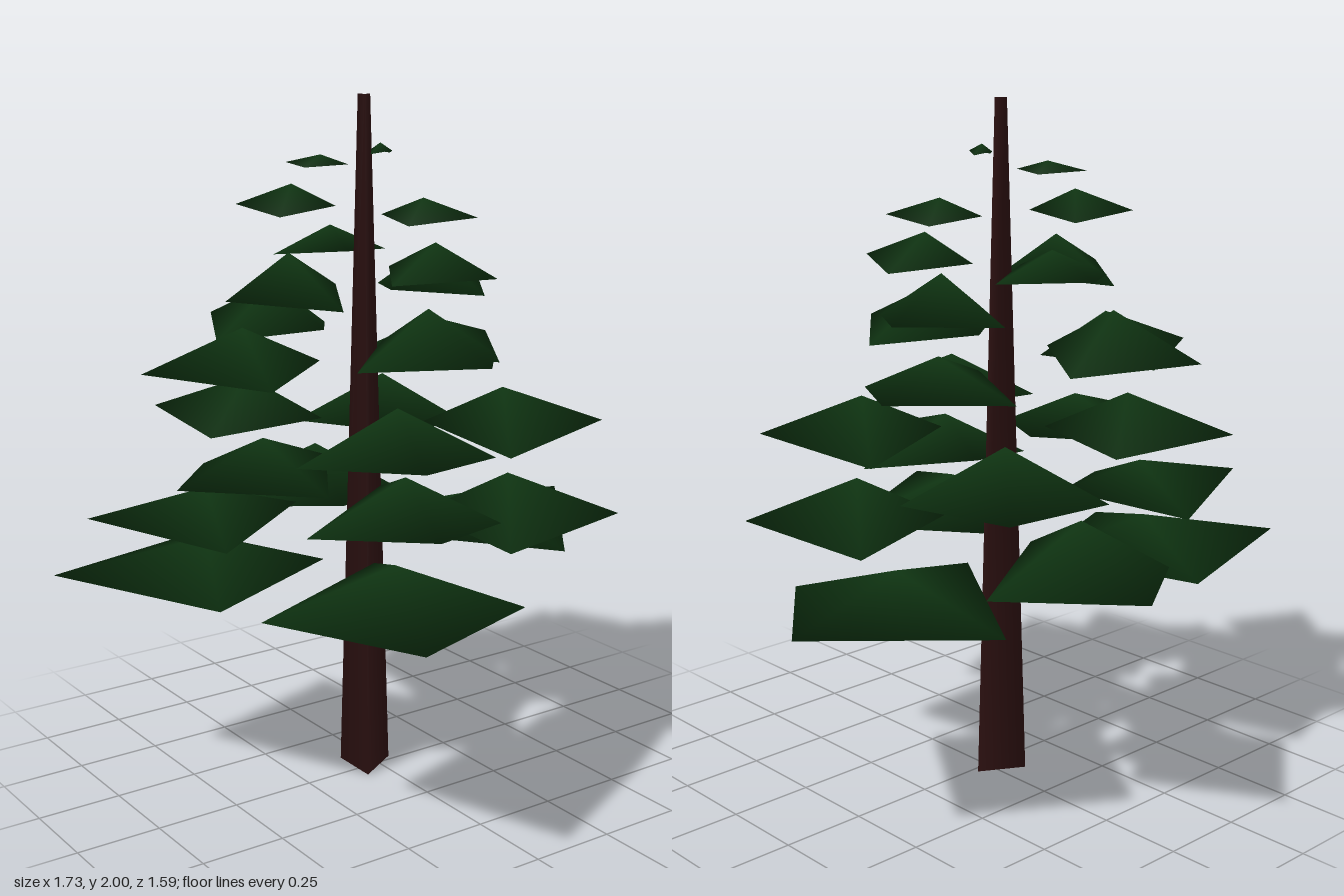
import * as THREE from 'three';

const CX = -0.032, CZ = -0.02; // trunk axis

// One bough: a closed kite with a raised centre and drooping side corners.
function boughGeometry(x, z, length, yTop, yTip, ySide) {
  const dir = new THREE.Vector2(x - CX, z - CZ).normalize();
  const at = (along, across, y) => [
    x + dir.x * along - dir.y * across, y, z + dir.y * along + dir.x * across,
  ];
  const outer = at(0.56 * length, 0, yTip);
  const inner = at(-0.44 * length, 0, yTip);
  const sideA = at(0, 0.48 * length, ySide);
  const sideB = at(0, -0.48 * length, ySide);
  const top = [x, yTop, z];
  const g = new THREE.BufferGeometry();
  g.setAttribute('position', new THREE.Float32BufferAttribute(
    [...outer, ...sideA, ...inner, ...sideB, ...top], 3));
  // four upper faces, then two lower faces folded along the spine
  g.setIndex([1, 0, 4, 2, 1, 4, 3, 2, 4, 0, 3, 4, 0, 1, 2, 0, 2, 3]);
  g.computeVertexNormals();
  return g;
}

// Tiers from bottom to top: centre x, centre z, length, top y, tip y, side y
const tiers = [
  [[-0.24, 0.42, 0.75, 0.79, 0.69, 0.65], [0.45, -0.12, 0.76, 0.76, 0.69, 0.64],
    [-0.46, -0.21, 0.78, 0.75, 0.66, 0.65]],
  [[-0.48, -0.17, 0.6, 0.91, 0.845, 0.8], [-0.17, 0.37, 0.57, 1.01, 0.92, 0.86],
    [0.3, 0.23, 0.58, 0.92, 0.8, 0.76], [0.08, -0.46, 0.61, 0.9, 0.765, 0.72]],
  [[-0.42, 0.05, 0.54, 1.09, 1.0, 0.97], [-0.19, 0.36, 0.57, 1.2, 1.1, 1.05],
    [0.3, 0.2, 0.52, 1.17, 1.07, 1.02], [0.27, -0.36, 0.58, 1.12, 1.0, 0.96],
    [-0.25, -0.32, 0.54, 1.18, 1.07, 1.05]],
  [[-0.39, -0.1, 0.52, 1.37, 1.26, 1.235], [-0.03, 0.28, 0.49, 1.44, 1.32, 1.29],
    [-0.12, -0.38, 0.48, 1.44, 1.32, 1.29], [0.29, -0.12, 0.5, 1.33, 1.25, 1.22]],
  [[-0.33, 0.05, 0.42, 1.59, 1.485, 1.45], [0.26, -0.1, 0.42, 1.55, 1.44, 1.42],
    [0.03, 0.23, 0.38, 1.61, 1.53, 1.51], [0.03, -0.29, 0.37, 1.61, 1.55, 1.53]],
  [[-0.18, -0.17, 0.29, 1.75, 1.69, 1.67], [0.07, 0.12, 0.28, 1.72, 1.67, 1.655]],
  [[-0.1, -0.14, 0.2, 1.83, 1.805, 1.8], [-0.02, 0.04, 0.08, 1.87, 1.85, 1.84]],
];

export function createModel() {
  const tree = new THREE.Group();
  tree.name = 'pineTree';
  const bark = new THREE.MeshStandardMaterial({ color: 0x2a0f0f });
  bark.name = 'dark bark';
  const needles = new THREE.MeshStandardMaterial({ color: 0x0f3512 });
  needles.name = 'dark green';

  // Three-sided tapering trunk, open at the top
  const trunk = new THREE.Mesh(
    new THREE.CylinderGeometry(0.02, 0.085, 2, 3, 1, true, Math.PI / 2), bark);
  trunk.name = 'trunk';
  trunk.position.set(CX, 1, CZ);
  const base = new THREE.Mesh(new THREE.CircleGeometry(0.085, 3), bark);
  base.name = 'trunkBase';
  base.rotation.x = Math.PI / 2;
  base.position.set(CX, 0, CZ);
  tree.add(trunk, base);

  // Boughs
  tiers.forEach((boughs, i) => {
    const tier = new THREE.Group();
    tier.name = `boughTier${i + 1}`;
    boughs.forEach((b, j) => {
      const mesh = new THREE.Mesh(boughGeometry(...b), needles);
      mesh.name = `bough${j + 1}`;
      tier.add(mesh);
    });
    tree.add(tier);
  });
  return tree;
}
